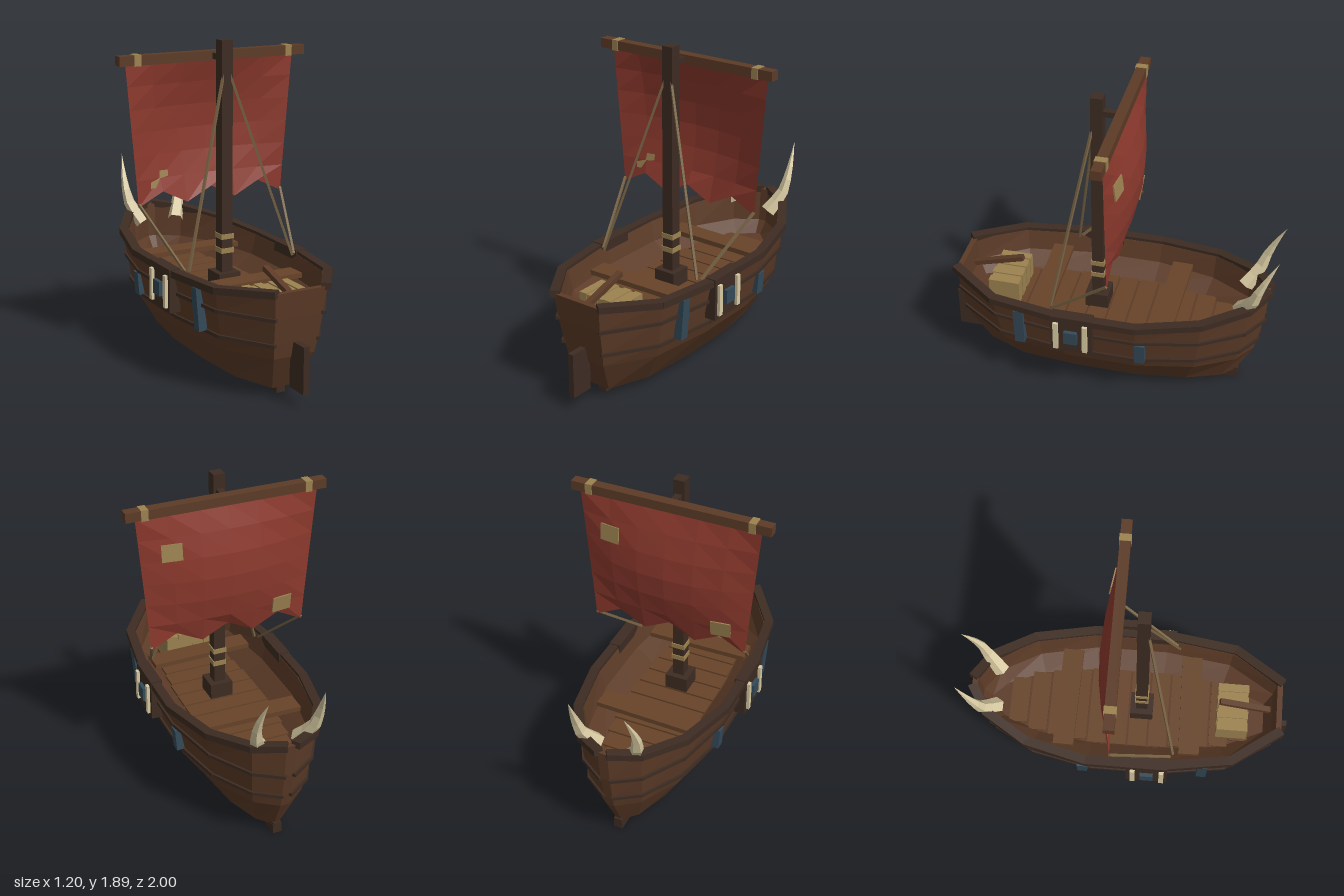
import * as THREE from 'three';

const mat = (name, color, side = THREE.FrontSide) => {
  const m = new THREE.MeshStandardMaterial({ color, side, flatShading: true });
  m.name = name;
  return m;
};
const V = (x, y, z) => new THREE.Vector3(x, y, z);
const lerp = THREE.MathUtils.lerp;

// Gunwale stations from stern to bow: z, half width, height
const STATIONS = [
  [0.94, 0.16, 0.65], [0.65, 0.365, 0.625], [0.23, 0.43, 0.62], [-0.23, 0.43, 0.62],
  [-0.6, 0.345, 0.65], [-0.85, 0.19, 0.685], [-0.95, 0.03, 0.71],
];
const N = STATIONS.length;

// Closed outline of the hull at one level; y = null follows the gunwale
function ring(y, fx, fz) {
  const side = STATIONS.map(([z, w, top]) => V(w * fx, y ?? top, z * fz));
  return [...side, ...side.map((p) => V(-p.x, p.y, p.z)).reverse()];
}

// Outer skin upwards, over the edge, then inner skin down to the floor
function hullGeometry() {
  const rings = [
    ring(0.05, 0.47, 0.82), ring(0.26, 0.8, 0.93), ring(0.345, 0.87, 0.95), ring(0.5, 0.94, 0.98),
    ring(null, 1, 1), ring(null, 0.91, 0.965), ring(0.5, 0.84, 0.95), ring(0.42, 0.57, 0.9),
  ];
  const pos = [];
  const quad = (a, b, c, d) => [a, b, c, a, c, d].forEach((p) => pos.push(p.x, p.y, p.z));
  const M = 2 * N;
  for (let r = 0; r < rings.length - 1; r++) {
    for (let i = 0; i < M; i++) {
      const j = (i + 1) % M;
      quad(rings[r][i], rings[r][j], rings[r + 1][j], rings[r + 1][i]);
    }
  }
  const bottom = rings[0], floor = rings[rings.length - 1];
  for (let i = 0; i < N - 1; i++) {
    quad(floor[i], floor[i + 1], floor[M - 2 - i], floor[M - 1 - i]);
    quad(bottom[M - 1 - i], bottom[M - 2 - i], bottom[i + 1], bottom[i]);
  }
  const g = new THREE.BufferGeometry();
  g.setAttribute('position', new THREE.Float32BufferAttribute(pos, 3));
  g.computeVertexNormals();
  return g;
}

// Half width of the hull at the gunwale for any z
function halfWidth(z) {
  for (let i = 0; i < N - 1; i++) {
    const [z0, w0] = STATIONS[i], [z1, w1] = STATIONS[i + 1];
    if (z <= z0 && z >= z1) return lerp(w0, w1, (z - z0) / (z1 - z0));
  }
  return 0.03;
}

// Sail surface: u from -1 to 1 across, v from 0 (top) to 1 (bottom)
const sailZ = (u, v) => -0.075 - 0.085 * Math.sin(Math.PI * v) * (1 - u * u);

function sailGeometry() {
  const cols = 6, rows = 6;
  const g = new THREE.PlaneGeometry(2, 1, cols, rows);
  const p = g.attributes.position;
  for (let i = 0; i < p.count; i++) {
    const u = p.getX(i), v = 0.5 - p.getY(i);
    const hem = (i % (cols + 1)) % 2 ? 1.01 : 0.93;
    const bottom = v > 0.99 ? hem : 0.95;
    p.setXYZ(i, u * lerp(0.545, 0.475, v), lerp(1.77, bottom, v), sailZ(u, v));
  }
  g.computeVertexNormals();
  return g;
}

// Five-sided horn tapering to a point
function hornGeometry(s) {
  const curve = new THREE.CatmullRomCurve3([
    V(0.115 * s, 0.63, -0.79), V(0.17 * s, 0.74, -0.865), V(0.185 * s, 0.84, -0.9),
    V(0.18 * s, 0.94, -0.945), V(0.165 * s, 1.05, -1),
  ]);
  const segs = 6, sides = 5;
  const g = new THREE.TubeGeometry(curve, segs, 0.05, sides);
  const p = g.attributes.position, v = V(0, 0, 0);
  for (let i = 0; i < p.count; i++) {
    const t = Math.floor(i / (sides + 1)) / segs;
    v.fromBufferAttribute(p, i).lerp(curve.getPointAt(t), Math.pow(t, 1.2));
    p.setXYZ(i, v.x, v.y, v.z);
  }
  g.computeVertexNormals();
  return g;
}

export function createModel() {
  const model = new THREE.Group();
  model.name = 'sailingBoat';
  const wood = mat('hullWood', 0x5c3b27);
  const plankWood = mat('plankWood', 0x674429);
  const dark = mat('darkWood', 0x3d2c22);
  const red = mat('sailRed', 0x8c392d, THREE.DoubleSide);
  const bone = mat('bone', 0xd8caa2);
  const tan = mat('tanCloth', 0x9c8250);
  const rope = mat('rope', 0x776344);
  const blue = mat('slateBlue', 0x344a58);

  const add = (name, geo, m) => {
    const mesh = new THREE.Mesh(geo, m);
    mesh.name = name;
    model.add(mesh);
    return mesh;
  };
  const box = (name, m, w, h, d, x, y, z) => {
    const mesh = add(name, new THREE.BoxGeometry(w, h, d), m);
    mesh.position.set(x, y, z);
    return mesh;
  };
  // Square beam between two points
  const beam = (name, m, a, b, w, h, extra = 0) => {
    const mesh = add(name, new THREE.BoxGeometry(w, h, a.distanceTo(b) + extra), m);
    mesh.position.copy(a).lerp(b, 0.5);
    mesh.lookAt(b);
    return mesh;
  };

  // Hull, wales and gunwale rail
  add('hull', hullGeometry(), wood);
  const trims = [
    ['lowerWale', ring(0.345, 0.875, 0.952), 0.025, 0.02],
    ['upperWale', ring(0.5, 0.945, 0.982), 0.025, 0.02],
    ['rail', ring(null, 0.98, 0.995), 0.055, 0.04],
  ];
  for (const [name, pts, w, h] of trims) {
    for (let i = 0; i < 2 * N - 1; i++) {
      if (i !== N - 1) beam(name, dark, pts[i], pts[i + 1], w, h, 0.015);
    }
  }
  box('keel', dark, 0.054, 0.055, 1.54, 0, 0.0275, -0.03);
  box('keelToe', dark, 0.05, 0.03, 0.1, 0, 0.055, -0.75);
  box('rudder', dark, 0.036, 0.27, 0.14, 0, 0.215, 0.93);

  // Floor planks and benches
  const pitch = 0.125;
  for (let z = -0.68; z < 0.8; z += pitch) {
    const half = Math.min(halfWidth(z - pitch / 2), halfWidth(z + pitch / 2));
    box('floorPlank', plankWood, half * 1.14, 0.02, pitch - 0.012, 0, 0.425, z);
  }
  box('frontBench', plankWood, 0.62, 0.03, 0.125, 0, 0.55, -0.37).rotation.y = -0.02;
  box('rearBench', plankWood, 0.63, 0.03, 0.125, 0, 0.55, 0.385).rotation.y = 0.02;

  // Cargo crate and tiller
  box('crate', tan, 0.29, 0.15, 0.18, 0, 0.505, 0.645);
  for (const x of [-0.125, -0.045, 0.045, 0.125]) {
    box('crateSlat', tan, 0.05, 0.165, 0.19, x, 0.505, 0.645);
  }
  beam('tiller', wood, V(0, 0.675, 0.56), V(0, 0.585, 0.87), 0.035, 0.03);

  // Mast with foot, lashings and yard
  box('mastFoot', dark, 0.14, 0.1, 0.14, 0, 0.48, 0.085);
  box('mast', dark, 0.07, 1.46, 0.07, 0, 1.16, 0.085);
  for (const y of [0.66, 0.745]) box('mastLashing', tan, 0.082, 0.03, 0.082, 0, y, 0.085);
  box('yardBracket', dark, 0.04, 0.035, 0.09, 0, 1.787, 0.015);
  box('yard', wood, 1.2, 0.056, 0.06, 0, 1.788, -0.054);

  // Sail with patches
  add('sail', sailGeometry(), red);
  for (const [x, y, rx, ry] of [[0.35, 1.55, 0.12, -0.14], [-0.33, 1.08, -0.14, 0.1]]) {
    const v = (1.77 - y) / 0.82, u = x / lerp(0.545, 0.475, v);
    const patch = box('sailPatch', tan, 0.12, 0.1, 0.008, x, y, sailZ(u, v) - 0.004);
    patch.rotation.set(rx, ry, 0);
  }

  // Mirrored fittings
  for (const s of [1, -1]) {
    box('yardLashing', tan, 0.042, 0.064, 0.068, 0.49 * s, 1.788, -0.054);
    add('horn', hornGeometry(s), bone);
    beam('stay', rope, V(0.02 * s, 1.7, 0.11), V(0.34 * s, 0.63, 0.295), 0.014, 0.014);
    beam('sheet', rope, V(0.473 * s, 0.95, -0.075), V(0.36 * s, 0.63, 0.28), 0.014, 0.014);

    // Side panel with bone bars and a blue boss
    box('sidePanel', dark, 0.07, 0.255, 0.25, 0.417 * s, 0.518, 0.145);
    for (const z of [0.06, 0.235]) box('boneBar', bone, 0.02, 0.19, 0.03, 0.46 * s, 0.512, z);
    box('boss', blue, 0.024, 0.085, 0.08, 0.463 * s, 0.512, 0.145);

    // Blue repair boards
    box('rearBoard', blue, 0.05, 0.255, 0.06, 0.375 * s, 0.475, 0.48).rotation.z = -0.08 * s;
    box('frontBoard', blue, 0.05, 0.14, 0.06, 0.39 * s, 0.42, -0.255).rotation.z = -0.08 * s;
  }
  return model;
}
